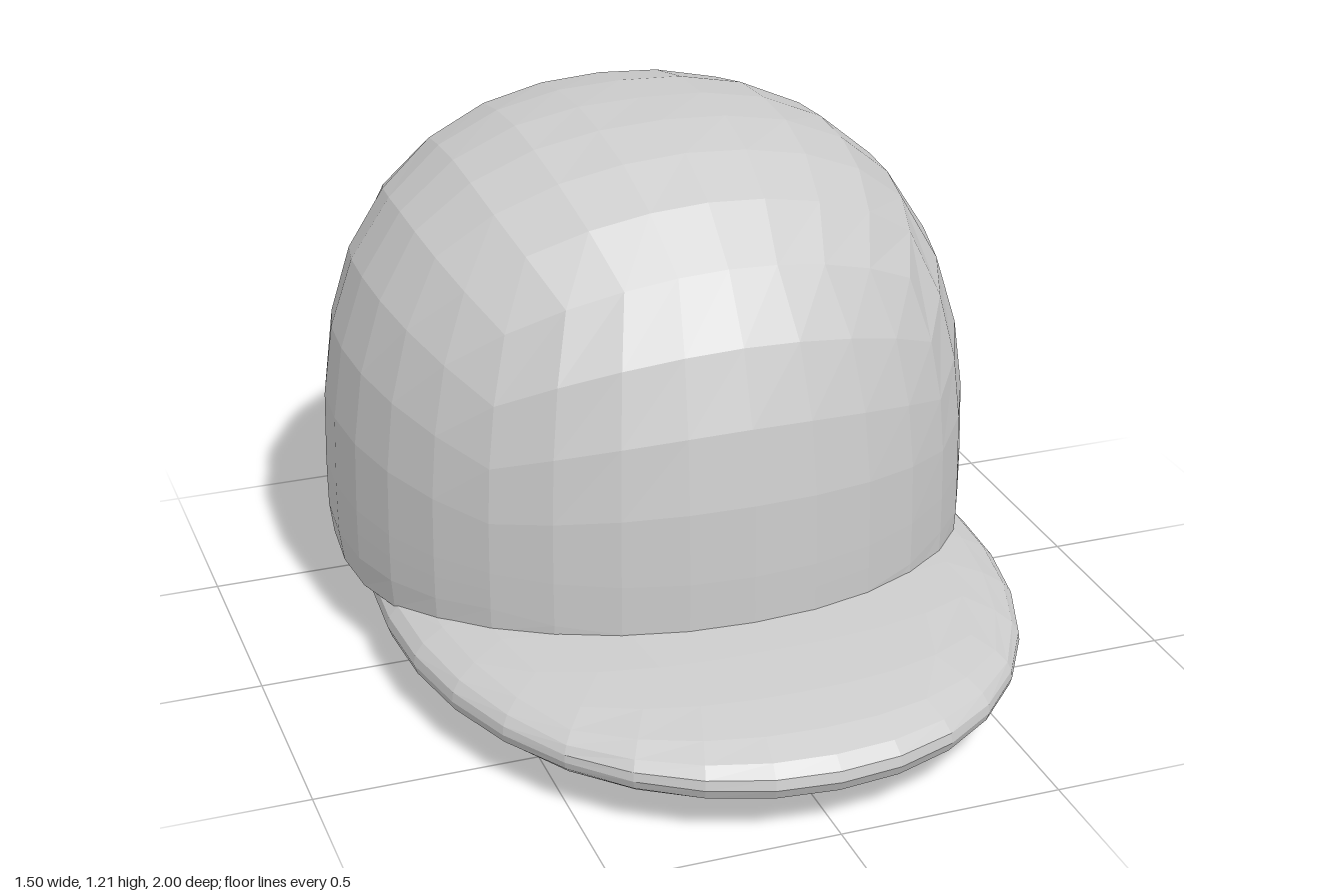
import * as THREE from 'three';
import { mergeVertices } from 'three/addons/utils/BufferGeometryUtils.js';

// Cube grid inflated into a rounded solid: radii rx/rz, separate heights and
// roundness exponents above and below its widest line.
function roundedSolid({ rx, rz, up, down, upPower, downPower, planPower }) {
  let geo = new THREE.BoxGeometry(2, 2, 2, 8, 8, 8);
  geo.deleteAttribute('normal');
  geo.deleteAttribute('uv');
  geo = mergeVertices(geo);
  const pos = geo.attributes.position;
  const d = new THREE.Vector3();
  const even = (t) => Math.tan((t * Math.PI) / 4); // equal-angle spacing
  const norm = (a, b, p) => Math.pow(Math.abs(a) ** p + Math.abs(b) ** p, 1 / p);
  for (let i = 0; i < pos.count; i++) {
    d.fromBufferAttribute(pos, i);
    d.set(even(d.x), even(d.y), even(d.z)).normalize();
    const flat = Math.hypot(d.x, d.z);
    const k = 1 / norm(flat, d.y, d.y >= 0 ? upPower : downPower);
    const plan = flat > 1e-6 ? flat / norm(d.x, d.z, planPower) : 1;
    pos.setXYZ(i, d.x * k * plan * rx, d.y * k * (d.y >= 0 ? up : down), d.z * k * plan * rz);
  }
  geo.computeVertexNormals();
  return geo;
}

export function createModel() {
  const cap = new THREE.Group();
  cap.name = 'cap';
  const material = new THREE.MeshStandardMaterial({ color: 0xcccccc, flatShading: true });

  const add = (name, shape, y, z) => {
    const mesh = new THREE.Mesh(roundedSolid(shape), material);
    mesh.name = name;
    mesh.position.set(0, y, z);
    cap.add(mesh);
  };

  // Tall domed crown with a nearly flat underside
  add('crown', { rx: 0.75, rz: 0.75, up: 0.855, down: 0.3, upPower: 2.55, downPower: 6, planPower: 2.1 }, 0.35, -0.25);

  // Flat lens-shaped brim, running under the crown and out to the front
  add('brim', { rx: 0.715, rz: 0.95, up: 0.12, down: 0.125, upPower: 2.6, downPower: 2.2, planPower: 2.1 }, 0.125, 0.05);

  return cap;
}
